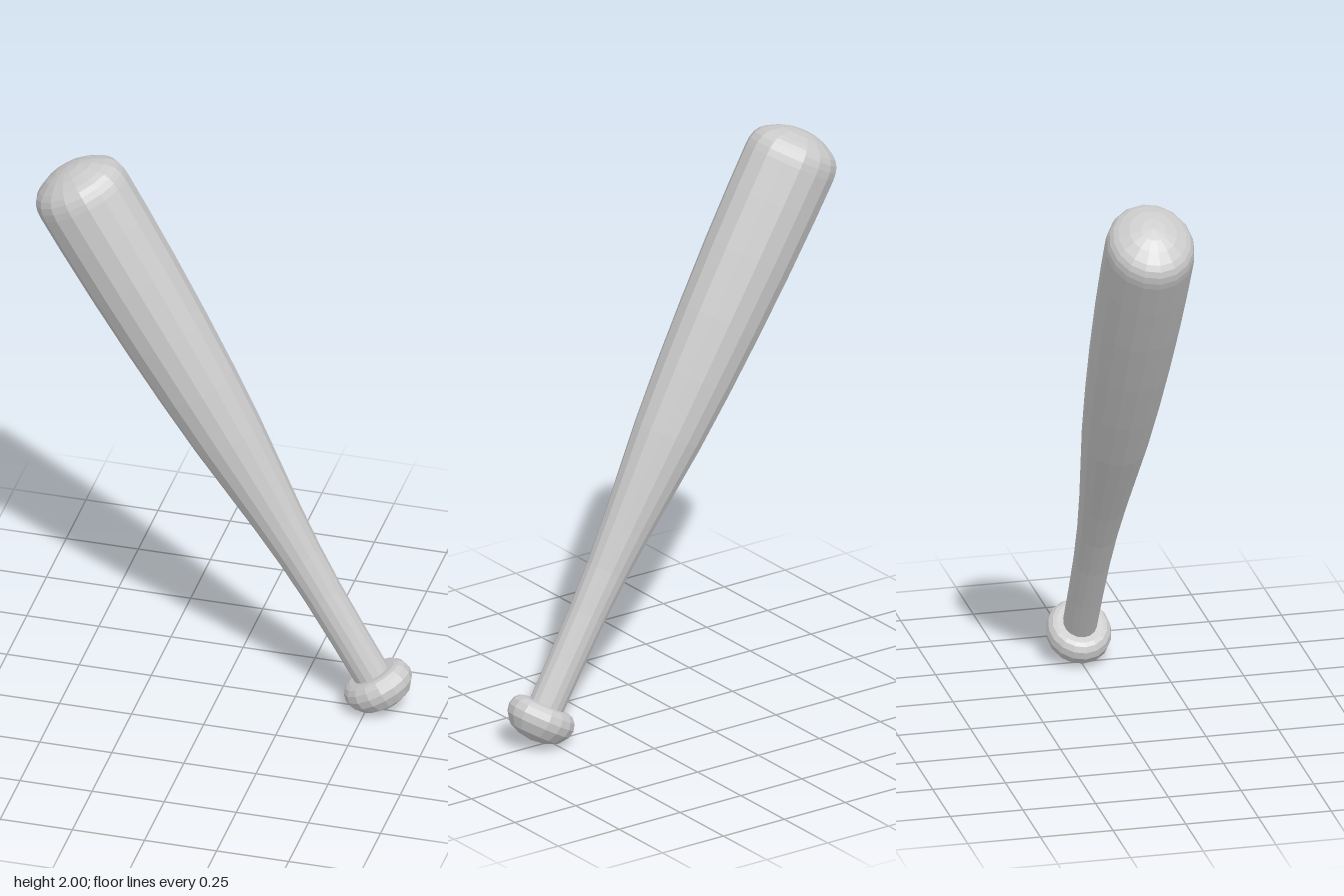
import * as THREE from 'three';

const SIDES = 16;

// Turns a [radius, height] profile around the bat's axis
function turned(name, profile, material) {
  const points = profile.map(([r, h]) => new THREE.Vector2(r, h));
  const mesh = new THREE.Mesh(new THREE.LatheGeometry(points, SIDES), material);
  mesh.name = name;
  return mesh;
}

export function createModel() {
  const model = new THREE.Group();
  model.name = 'baseballBat';
  const material = new THREE.MeshStandardMaterial({ color: 0xcccccc, flatShading: true });

  const bat = new THREE.Group();
  bat.name = 'bat';

  // Rounded knob at the end of the grip
  bat.add(turned('knob', [
    [0, -0.083], [0.045, -0.076], [0.083, -0.058], [0.106, -0.025],
    [0.111, 0.002], [0.105, 0.026], [0.092, 0.041], [0.078, 0.046], [0.05, 0.046],
  ], material));

  // Slim handle swelling into the barrel
  bat.add(turned('handleAndBarrel', [
    [0.057, 0.03], [0.058, 0.2], [0.061, 0.38], [0.068, 0.54], [0.08, 0.7],
    [0.096, 0.87], [0.112, 1.04], [0.126, 1.25], [0.137, 1.47],
    [0.145, 1.7], [0.149, 1.9], [0.15, 2.04],
  ], material));

  // Domed end of the barrel
  bat.add(turned('barrelEnd', [
    [0.15, 2.04], [0.148, 2.065], [0.142, 2.088], [0.131, 2.106],
    [0.115, 2.12], [0.08, 2.141], [0.042, 2.154], [0, 2.159],
  ], material));

  // Slightly oval section, leaning 30 degrees
  bat.scale.x = 1.12;
  bat.rotation.z = Math.PI / 6;
  bat.position.set(0.536, 0.1, 0);
  model.add(bat);
  return model;
}
